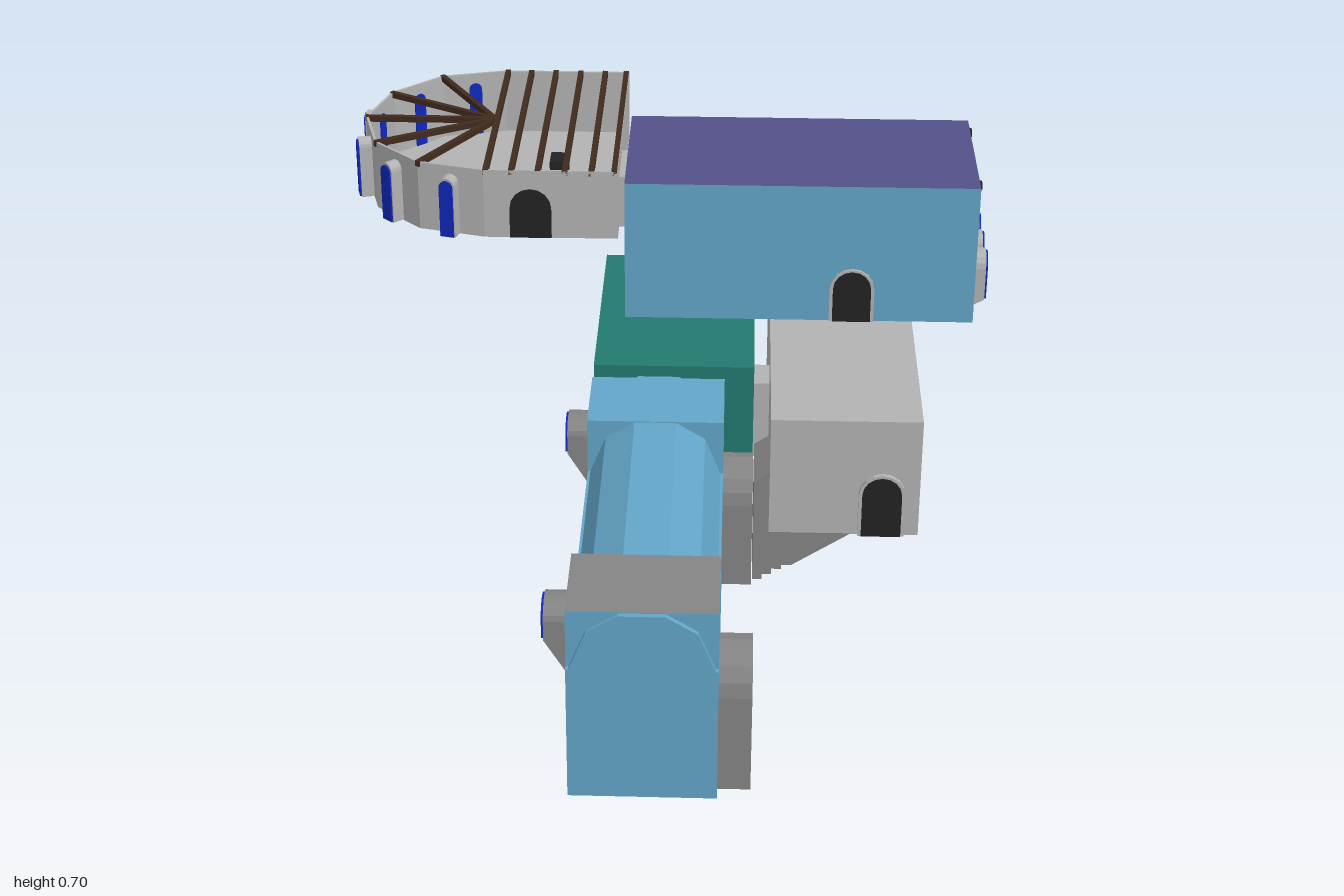
import * as THREE from 'three';

export function createModel() {
  const root = new THREE.Group();
  root.name = 'buildingComplex';
  const mat = (name, color) => {
    const m = new THREE.MeshStandardMaterial({ color });
    m.name = name;
    return m;
  };
  const blue = mat('paleBlue', 0x62a5c8), gray = mat('lightGray', 0xb2b2b2);
  const stone = mat('darkGray', 0x848484), purple = mat('purple', 0x54508a);
  const teal = mat('teal', 0x237a70), brown = mat('roofBrown', 0x5e5240);
  const timber = mat('timber', 0x402a1d), black = mat('black', 0x222222);
  const glass = mat('windowBlue', 0x1028bc);

  const add = (name, geo, material, parent = root) => {
    const m = new THREE.Mesh(geo, material);
    m.name = name;
    parent.add(m);
    return m;
  };
  // box from its limits; optional separate roof and floor colours
  const block = (name, [x0, x1], [y0, y1], [z0, z1], wall, roof = wall, floor = wall) => {
    const g = new THREE.BoxGeometry(x1 - x0, y1 - y0, z1 - z0);
    g.translate((x0 + x1) / 2, (y0 + y1) / 2, (z0 + z1) / 2);
    const one = roof === wall && floor === wall;
    return add(name, g, one ? wall : [wall, wall, roof, floor, wall, wall]);
  };
  const polygon = pts => new THREE.Shape(pts.map(p => new THREE.Vector2(...p)));
  const extrude = (shape, depth) =>
    new THREE.ExtrudeGeometry(shape, { depth, bevelEnabled: false, curveSegments: 5 });
  // side profile in x and y, drawn out along z
  const prism = (name, pts, z0, z1, material) =>
    add(name, extrude(polygon(pts), z1 - z0).translate(0, 0, z0), material);

  const archPoints = (w, h) => {
    const r = w / 2, pts = [[-r, 0], [r, 0]];
    const rise = Math.min(r, h * 0.4);
    for (let i = 0; i <= 8; i++) {
      const a = i * Math.PI / 8;
      pts.push([r * Math.cos(a), h - rise + rise * Math.sin(a)]);
    }
    return pts;
  };
  // projecting arch facing its local +z, with an optional inset panel and sloping sill
  const arch = (name, [x, y, z], turn, w, h, d, frame, panel, drop = 0) => {
    const g = new THREE.Group();
    g.name = name;
    g.position.set(x, y, z);
    g.rotation.y = turn;
    const geo = extrude(polygon(archPoints(w, h)), d);
    const p = geo.attributes.position;
    for (let i = 0; i < p.count; i++)
      if (p.getY(i) < 1e-4 && p.getZ(i) < 1e-4) p.setY(i, -drop);
    geo.computeVertexNormals();
    add('frame', geo, frame, g);
    if (panel) {
      const k = extrude(polygon(archPoints(w * 0.85, h * 0.95)), 0.004);
      add('panel', k.translate(0, h * 0.01, d), panel, g);
    }
    root.add(g);
  };
  const RIGHT = Math.PI / 2, LEFT = -Math.PI / 2, BACK = Math.PI;

  // long hall with a faceted vault between two square ends
  block('hallWalls', [-0.11, 0.15], [0, 0.265], [0.155, 1], blue, blue, stone);
  prism('hallVault', [[-0.105, 0.265], [0.145, 0.265], [0.115, 0.34], [0.06, 0.374],
    [-0.02, 0.374], [-0.075, 0.34]], 0.155, 1, blue);
  block('hallFrontEnd', [-0.11, 0.15], [0.265, 0.376], [0.81, 0.99], blue, stone);
  block('hallBackEnd', [-0.11, 0.15], [0.265, 0.376], [0.165, 0.34], blue);
  arch('hallDoor', [0.15, 0, 0.9], RIGHT, 0.145, 0.265, 0.058, stone);
  arch('stairPortal', [0.15, 0, 0.25], RIGHT, 0.14, 0.25, 0.058, stone);
  for (const z of [0.888, 0.25])
    arch('hallWindow', [-0.11, 0.275, z], LEFT, 0.085, 0.065, 0.042, stone, glass, 0.07);
  arch('hallSideDoor', [-0.11, 0.075, 0.6], LEFT, 0.07, 0.08, 0.003, black);

  // covered staircase with a stepped underside
  const steps = [[0.24, 0.26], [0.21, 0.24], [0.21, 0]];
  const n = 10;
  for (let i = 1; i <= n; i++) {
    const x = 0.21 + 0.19 * i / n;
    steps.push([x, 0.125 * (i - 1) / n], [x, 0.125 * i / n]);
  }
  steps.push([0.24, 0.126]);
  prism('staircase', steps, 0.205, 0.3, stone);
  for (const z of [0.18, 0.3])
    prism('stairWall', [[0.21, 0.05], [0.285, 0.05], [0.4, 0.126], [0.24, 0.126],
      [0.24, 0.26], [0.21, 0.24]], z, z + 0.025, stone);

  // gray gallery
  block('gallery', [0.24, 0.53], [0.125, 0.376], [-0.39, 0.325], gray);
  arch('galleryDoor', [0.457, 0.127, 0.325], 0, 0.09, 0.135, 0.01, gray, black);

  // low teal room and its passages
  block('tealRoom', [-0.11, 0.208], [0.125, 0.376], [-0.39, 0.115], teal, teal, stone);
  block('galleryPassage', [0.205, 0.242], [0.13, 0.3], [-0.04, 0.04], gray);
  const ramp = extrude(polygon([[0.385, 0.2], [0.425, 0.23], [0.425, 0.345], [0.385, 0.315]]), 0.09);
  add('slopingPassage', ramp.rotateY(RIGHT).translate(0.06, 0, 0), gray);

  // large upper hall
  block('upperHall', [-0.055, 0.648], [0.405, 0.7], [-0.39, -0.04], blue, purple, stone);
  arch('upperHallDoor', [0.402, 0.406, -0.04], 0, 0.09, 0.115, 0.006, gray, black);
  for (const z of [-0.125, -0.213, -0.302])
    arch('upperHallWindow', [0.648, 0.43, z], RIGHT, 0.062, 0.1, 0.026, gray, glass, 0.015);
  for (const z of [-0.08, -0.35])
    block('vent', [0.645, 0.653], [0.682, 0.697], [z - 0.008, z + 0.008], black);

  // two stacked small rooms
  block('lowerRoom', [-0.055, 0.237], [0.23, 0.39], [-0.668, -0.42], gray);
  block('upperRoom', [-0.055, 0.237], [0.405, 0.563], [-0.668, -0.425], gray, brown);
  arch('lowerSideArch', [0.237, 0.232, -0.605], RIGHT, 0.105, 0.115, 0.004, gray);
  arch('lowerBackArch', [0.05, 0.232, -0.668], BACK, 0.09, 0.118, 0.012, gray);
  arch('upperBackDoor', [0.002, 0.406, -0.668], BACK, 0.088, 0.115, 0.028, gray, black);
  block('hallPassage', [-0.04, 0.046], [0.406, 0.52], [-0.43, -0.385], gray);
  block('apsePassage', [-0.09, -0.05], [0.406, 0.523], [-0.62, -0.472], gray);

  // open porch arch on the small upper room
  const porch = polygon(archPoints(0.138, 0.14));
  porch.holes.push(new THREE.Path(archPoints(0.1, 0.115).map(p => new THREE.Vector2(p[0], p[1] + 0.004))));
  const porchGroup = new THREE.Group();
  porchGroup.name = 'porch';
  porchGroup.position.set(0.237, 0.406, -0.545);
  porchGroup.rotation.y = RIGHT;
  root.add(porchGroup);
  add('porchFrame', extrude(porch, 0.03), gray, porchGroup);
  add('porchRecess', extrude(polygon(archPoints(0.1, 0.115)), 0.002), stone, porchGroup);
  add('porchPost', new THREE.BoxGeometry(0.018, 0.1, 0.004).translate(0, 0.055, 0.003), timber, porchGroup);

  // round-ended room, open above
  const cx = -0.375, cz = -0.698, R = 0.29;
  const outline = (inset) => {
    const r = R - inset, pts = [[-0.087 - inset, -cz - r], [-0.087 - inset, -cz + r]];
    for (let i = 0; i <= 6; i++) {
      const a = Math.PI / 2 + i * Math.PI / 6;
      pts.push([cx + r * Math.cos(a), -cz + r * Math.sin(a)]);
    }
    return pts;
  };
  const ring = polygon(outline(0));
  ring.holes.push(new THREE.Path(outline(0.006).map(p => new THREE.Vector2(...p))));
  add('apseWalls', extrude(ring, 0.157).rotateX(-Math.PI / 2).translate(0, 0.406, 0), gray);
  add('apseFloor', extrude(polygon(outline(0.003)), 0.008).rotateX(-Math.PI / 2).translate(0, 0.405, 0), gray);
  block('floorHatch', [-0.256, -0.215], [0.412, 0.45], [-0.772, -0.715], black);
  arch('apseDoor', [-0.275, 0.407, cz + R], 0, 0.09, 0.113, 0.004, black);

  // straight and radiating roof beams
  for (const x of [-0.37, -0.315, -0.258, -0.2, -0.143, -0.094])
    block('roofBeam', [x - 0.006, x + 0.006], [0.552, 0.565], [cz - R, cz + R], timber);
  for (let i = 1; i < 6; i++) {
    const beam = add('radialBeam', new THREE.BoxGeometry(R, 0.013, 0.012).translate(R / 2, 0, 0), timber);
    beam.position.set(cx, 0.5585, cz);
    beam.rotation.y = Math.PI / 2 + i * Math.PI / 6;
  }
  // narrow windows, one per facet, glazed inside and out
  for (let i = 0; i < 6; i++) {
    const a = Math.PI / 2 + (i + 0.5) * Math.PI / 6, r = R * Math.cos(Math.PI / 12);
    const dx = Math.cos(a), dz = -Math.sin(a), turn = Math.atan2(dx, dz);
    arch('apseWindow', [cx + dx * (r - 0.002), 0.408, cz + dz * (r - 0.002)], turn, 0.036, 0.137, 0.03, gray, glass);
    arch('innerGlass', [cx + dx * (r - 0.007), 0.414, cz + dz * (r - 0.007)], turn + Math.PI, 0.03, 0.126, 0.003, glass);
  }
  return root;
}
